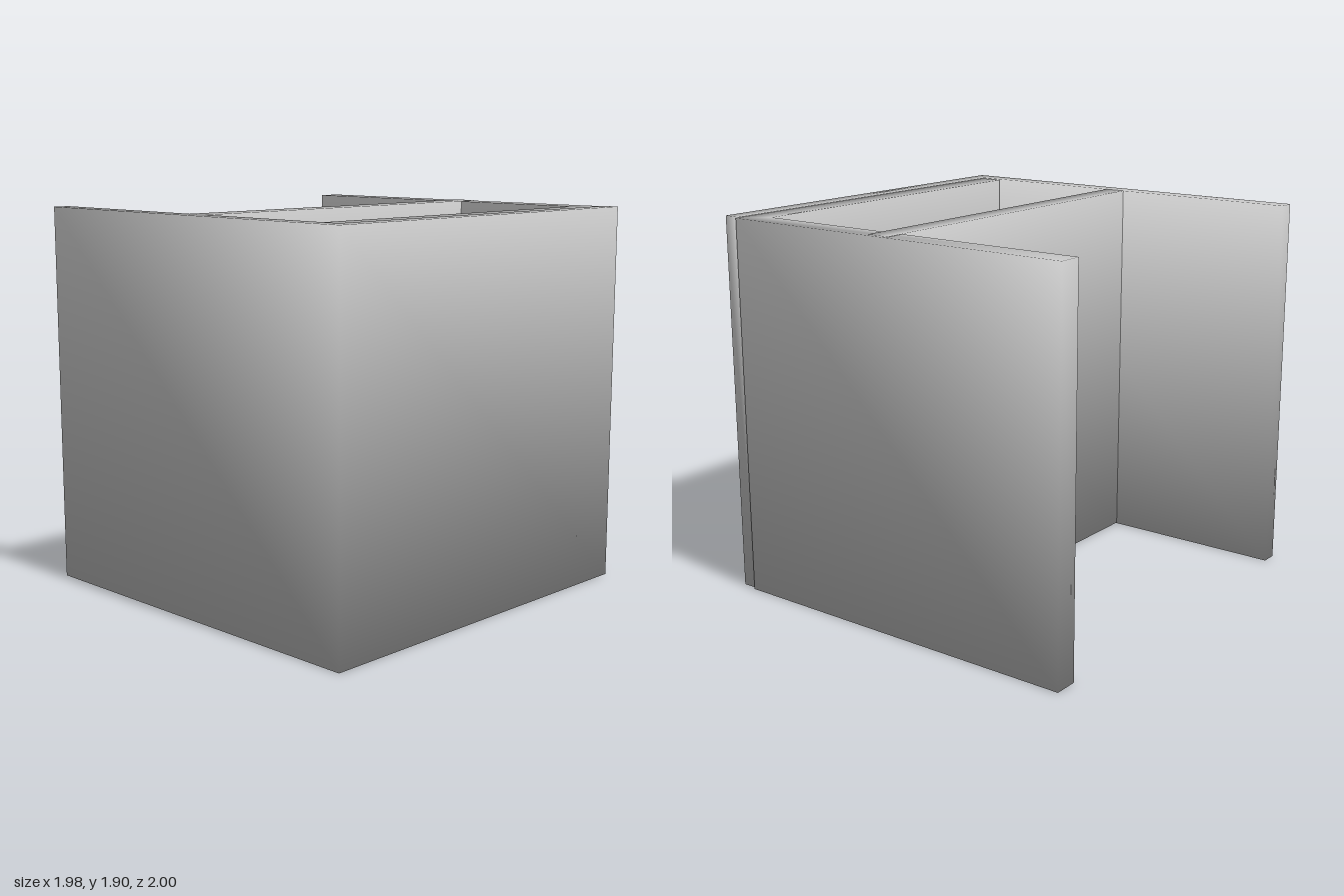
import * as THREE from 'three';

const material = new THREE.MeshStandardMaterial({ color: 0xcccccc });

// Give every corner the average of its distinct face directions, so the slabs shade softly
function softenCorners(geometry) {
  const g = geometry.index ? geometry.toNonIndexed() : geometry;
  g.deleteAttribute('uv');
  g.clearGroups();
  g.computeVertexNormals();
  const pos = g.attributes.position, nor = g.attributes.normal;
  const corners = new Map();
  const keyOf = (a, i) => [a.getX(i), a.getY(i), a.getZ(i)].map(v => Math.round(v * 1000)).join();
  for (let i = 0; i < pos.count; i++) {
    const key = keyOf(pos, i);
    if (!corners.has(key)) corners.set(key, new Map());
    corners.get(key).set(keyOf(nor, i), new THREE.Vector3().fromBufferAttribute(nor, i));
  }
  for (let i = 0; i < pos.count; i++) {
    const n = new THREE.Vector3();
    for (const face of corners.get(keyOf(pos, i)).values()) n.add(face);
    n.normalize();
    nor.setXYZ(i, n.x, n.y, n.z);
  }
  return g;
}

// Upright wall from a floor plan of [x, z] corners
function wall(name, plan, bottom, top) {
  const shape = new THREE.Shape(plan.map(([x, z]) => new THREE.Vector2(x, -z)));
  const geometry = new THREE.ExtrudeGeometry(shape, { depth: top - bottom, bevelEnabled: false });
  geometry.rotateX(-Math.PI / 2);
  geometry.translate(0, bottom, 0);
  const mesh = new THREE.Mesh(softenCorners(geometry), material);
  mesh.name = name;
  return mesh;
}

export function createModel() {
  const group = new THREE.Group();
  group.name = 'panelCorner';

  // Thin outer wall: front panel turning back along the side
  group.add(wall('outerWall', [
    [-0.99, 0.995], [0.99, 0.995], [0.99, -0.985],
    [0.908, -0.985], [0.908, 0.912], [-0.99, 0.912],
  ], 0, 1.9));

  // Thick inner wall: back panel turning forward along the side
  group.add(wall('innerWall', [
    [-0.99, -1], [-0.99, -0.88], [0.785, -0.88],
    [0.785, 0.895], [0.905, 0.895], [0.905, -1],
  ], 0, 1.897));

  // Divider running from front panel to back panel
  group.add(wall('divider', [
    [-0.043, 0.915], [0.068, 0.915], [0.068, -0.985], [-0.043, -0.985],
  ], 0.003, 1.9));

  return group;
}
